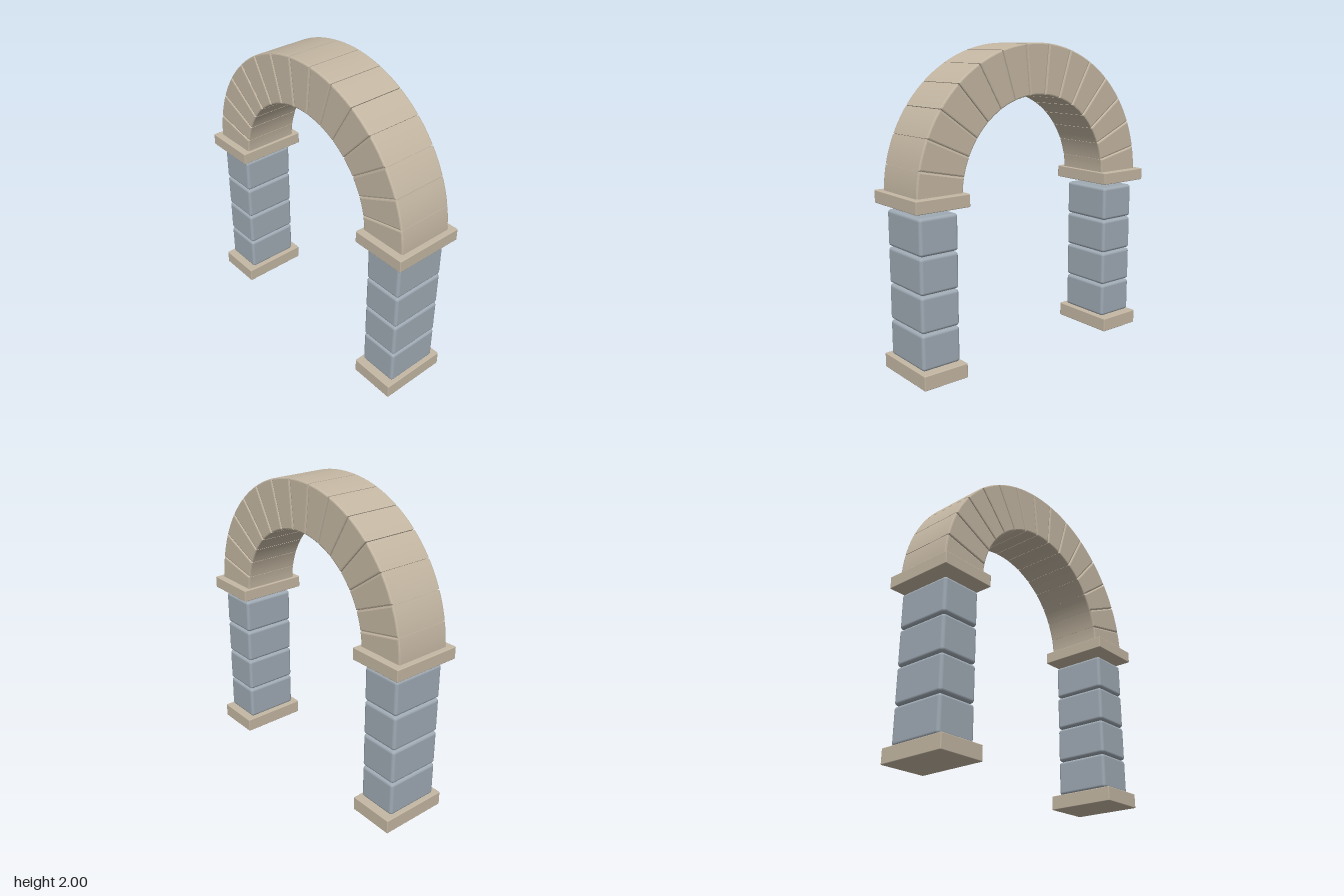
import * as THREE from 'three';
import { toCreasedNormals } from 'three/addons/utils/BufferGeometryUtils.js';
import { RoundedBoxGeometry } from 'three/addons/geometries/RoundedBoxGeometry.js';

const sandstone = new THREE.MeshStandardMaterial({ color: 0xc4b7a3 });
sandstone.name = 'sandstone';
const blueStone = new THREE.MeshStandardMaterial({ color: 0x9faab4 });
blueStone.name = 'blue grey stone';

const PILLAR_X = 0.742;
const ARCH_Y = 1.108, INNER = 0.575, OUTER = 0.892, HALF_DEPTH = 0.188;
const STONES = 15;

// Ring segment centred on the +y direction, with straight joints offset by a constant gap
function ringShape(inner, outer, halfAngle, gap) {
  const a = halfAngle - Math.asin(gap / inner);
  const b = halfAngle - Math.asin(gap / outer);
  const shape = new THREE.Shape();
  shape.absarc(0, 0, outer, Math.PI / 2 - b, Math.PI / 2 + b, false);
  shape.absarc(0, 0, inner, Math.PI / 2 + a, Math.PI / 2 - a, true);
  shape.closePath();
  return shape;
}

function extrudeCentred(shape, halfDepth, bevel, segments) {
  const geometry = new THREE.ExtrudeGeometry(shape, {
    depth: 2 * (halfDepth - bevel), curveSegments: segments,
    bevelEnabled: bevel > 0, bevelSize: bevel, bevelThickness: bevel, bevelSegments: 2,
  });
  geometry.translate(0, 0, -(halfDepth - bevel));
  return toCreasedNormals(geometry, 0.3);
}

function block(name, width, bottom, top, depth, radius, material) {
  const mesh = new THREE.Mesh(new RoundedBoxGeometry(width, top - bottom, depth, 3, radius), material);
  mesh.position.y = (bottom + top) / 2;
  mesh.name = name;
  return mesh;
}

function createPillar(name) {
  const pillar = new THREE.Group();
  pillar.name = name;
  pillar.add(block('base', 0.308, 0, 0.093, 0.46, 0.005, sandstone));
  // Four cushioned blocks
  for (let i = 0; i < 4; i++) {
    const y = 0.096 + i * 0.2325;
    pillar.add(block('pillarBlock', 0.266, y, y + 0.227, 0.368, 0.02, blueStone));
  }
  pillar.add(block('capital', 0.37, 1.058, 1.137, 0.47, 0.005, sandstone));
  return pillar;
}

function createArch() {
  const arch = new THREE.Group();
  arch.name = 'arch';
  arch.position.y = ARCH_Y;

  // Wedge stones, bevelled all round
  const bevel = 0.009, step = Math.PI / STONES;
  const stone = extrudeCentred(
    ringShape(INNER + bevel, OUTER - bevel, step / 2, bevel + 0.002), HALF_DEPTH, bevel, 8);
  for (let i = 0; i < STONES; i++) {
    const mesh = new THREE.Mesh(stone, sandstone);
    mesh.rotation.z = (i - (STONES - 1) / 2) * step;
    mesh.name = 'archStone';
    arch.add(mesh);
  }

  // Mortar core closing the joints
  const core = new THREE.Mesh(
    extrudeCentred(ringShape(INNER + 0.002, OUTER - 0.01, Math.PI / 2, 0), HALF_DEPTH - 0.01, 0, 90), sandstone);
  core.name = 'archCore';
  arch.add(core);
  return arch;
}

export function createModel() {
  const model = new THREE.Group();
  model.name = 'stoneArchway';
  for (const side of [-1, 1]) {
    const pillar = createPillar(side > 0 ? 'leftPillar' : 'rightPillar');
    pillar.position.x = side * PILLAR_X;
    model.add(pillar);
  }
  model.add(createArch());
  return model;
}
